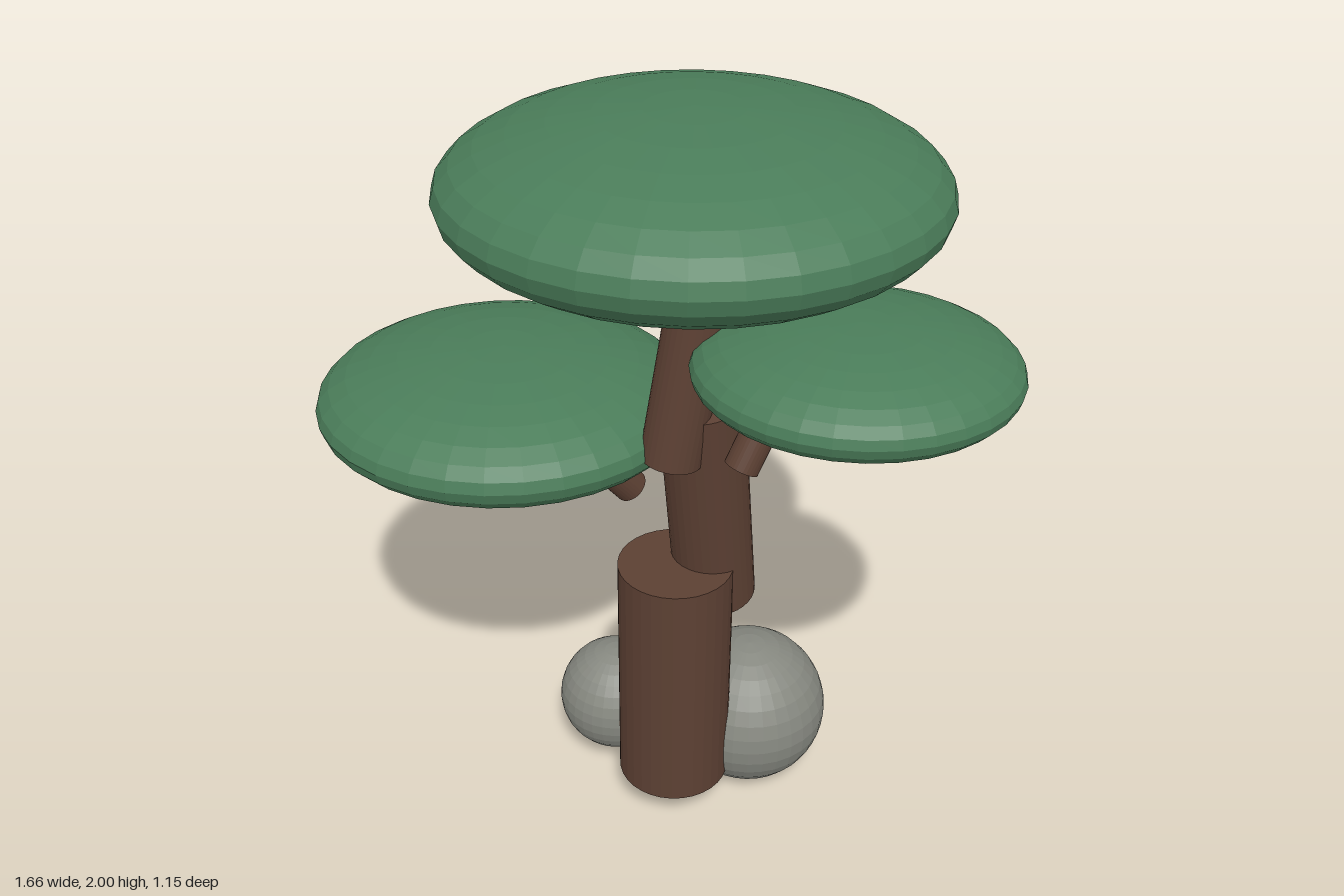
import * as THREE from 'three';

const flat = (name, color) => {
  const m = new THREE.MeshStandardMaterial({ color, flatShading: true });
  m.name = name;
  return m;
};

export function createModel() {
  const bark = flat('bark brown', 0x5c4033);
  const leaf = flat('leaf green', 0x4a7c59);
  const stone = flat('stone grey', 0x868880);

  const tree = new THREE.Group();
  tree.name = 'bonsaiTree';

  const add = (name, geometry, material) => {
    const mesh = new THREE.Mesh(geometry, material);
    mesh.name = name;
    tree.add(mesh);
    return mesh;
  };

  // Straight round limb between two points
  const limb = (name, from, to, radius) => {
    const a = new THREE.Vector3(...from);
    const b = new THREE.Vector3(...to);
    const dir = b.clone().sub(a);
    const mesh = add(name, new THREE.CylinderGeometry(radius, radius, dir.length(), 32), bark);
    mesh.position.copy(a).add(b).multiplyScalar(0.5);
    mesh.quaternion.setFromUnitVectors(new THREE.Vector3(0, 1, 0), dir.normalize());
  };

  // Ball stretched to the given radii
  const ball = (name, centre, radii, material) => {
    const mesh = add(name, new THREE.SphereGeometry(1, 32, 16), material);
    mesh.position.set(...centre);
    mesh.scale.set(...radii);
  };

  // Trunk in three leaning sections
  limb('lowerTrunk', [0.06, 0.12, 0.03], [0.06, 0.795, 0.03], 0.146);
  limb('middleTrunk', [0.16, 0.66, -0.05], [0.115, 1.28, 0.03], 0.104);
  limb('upperTrunk', [0.048, 1.147, 0.09], [0.14, 1.75, 0.056], 0.075);

  // Side branches
  limb('rightBranch', [-0.06, 0.91, -0.14], [-0.22, 1.15, -0.035], 0.044);
  limb('leftBranch', [0.212, 1.167, 0.156], [0.34, 1.45, 0.07], 0.042);

  // Flattened foliage pads
  ball('topFoliage', [0.09, 1.812, 0.058], [0.563, 0.188, 0.518], leaf);
  ball('rightFoliage', [-0.367, 1.163, -0.144], [0.467, 0.147, 0.433], leaf);
  ball('leftFoliage', [0.458, 1.445, 0.17], [0.371, 0.117, 0.338], leaf);

  // Rocks at the foot
  ball('largeRock', [0.26, 0.212, -0.115], [0.212, 0.212, 0.212], stone);
  ball('smallRock', [-0.106, 0.196, -0.163], [0.156, 0.156, 0.156], stone);

  return tree;
}
